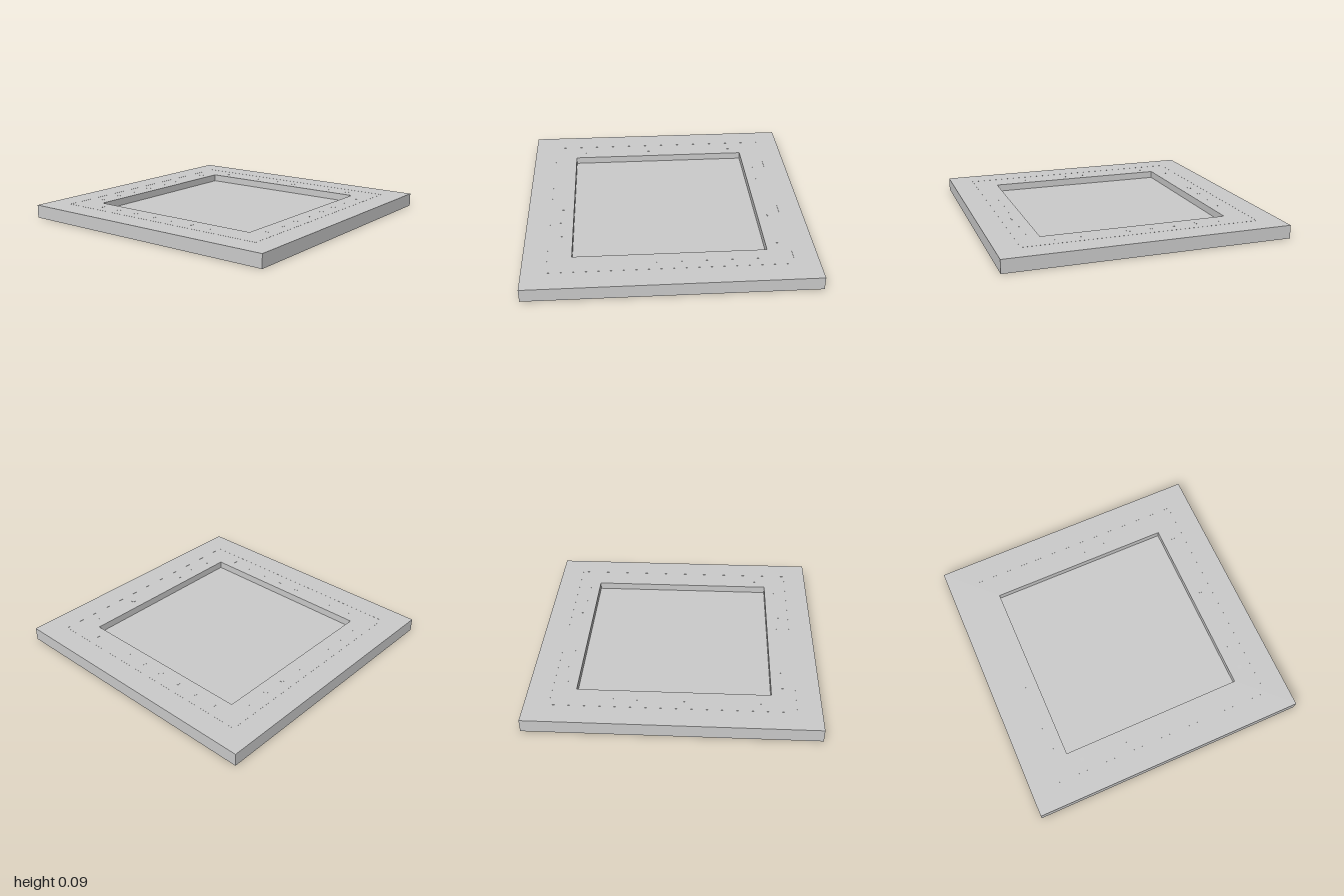
import * as THREE from 'three';

const material = new THREE.MeshStandardMaterial({ color: 0xcccccc });

function add(parent, name, geometry, x = 0, y = 0, z = 0) {
  const mesh = new THREE.Mesh(geometry, material);
  mesh.name = name;
  mesh.position.set(x, y, z);
  parent.add(mesh);
  return mesh;
}

// Flat square ring lying in the XZ plane, with its underside at y = 0
function squareRing(outer, inner, height) {
  const square = (Path, h) => new Path([[-h, -h], [h, -h], [h, h], [-h, h]].map(([x, y]) => new THREE.Vector2(x, y)));
  const shape = square(THREE.Shape, outer);
  shape.holes.push(square(THREE.Path, inner));
  return new THREE.ExtrudeGeometry(shape, { depth: height, bevelEnabled: false }).rotateX(-Math.PI / 2);
}

export function createModel() {
  const group = new THREE.Group();
  group.name = 'framedBoard';

  const baseTop = 0.042, sheetTop = 0.052, top = 0.094;
  const opening = 0.667;

  // Solid backing, thin middle layer and upper frame
  add(group, 'basePlate', new THREE.BoxGeometry(2, baseTop, 2), 0, baseTop / 2, 0);
  add(group, 'middleLayer', squareRing(1, opening, sheetTop - baseTop), 0, baseTop, 0);
  add(group, 'topFrame', squareRing(1, opening, top - sheetTop), 0, sheetTop, 0);

  // Fine border line on the frame
  add(group, 'borderLine', squareRing(0.835, 0.832, 0.0006), 0, top, 0);

  // Eight plain markers along each side
  const marker = new THREE.BoxGeometry(0.025, 0.0006, 0.025);
  for (let side = 0; side < 4; side++) {
    const row = new THREE.Group();
    row.name = 'markerRow';
    row.rotation.y = side * Math.PI / 2;
    for (let i = 0; i < 8; i++) add(row, 'marker', marker, (i - 3.5) / 6, top + 0.0003, 0.75);
    group.add(row);
  }
  return group;
}
